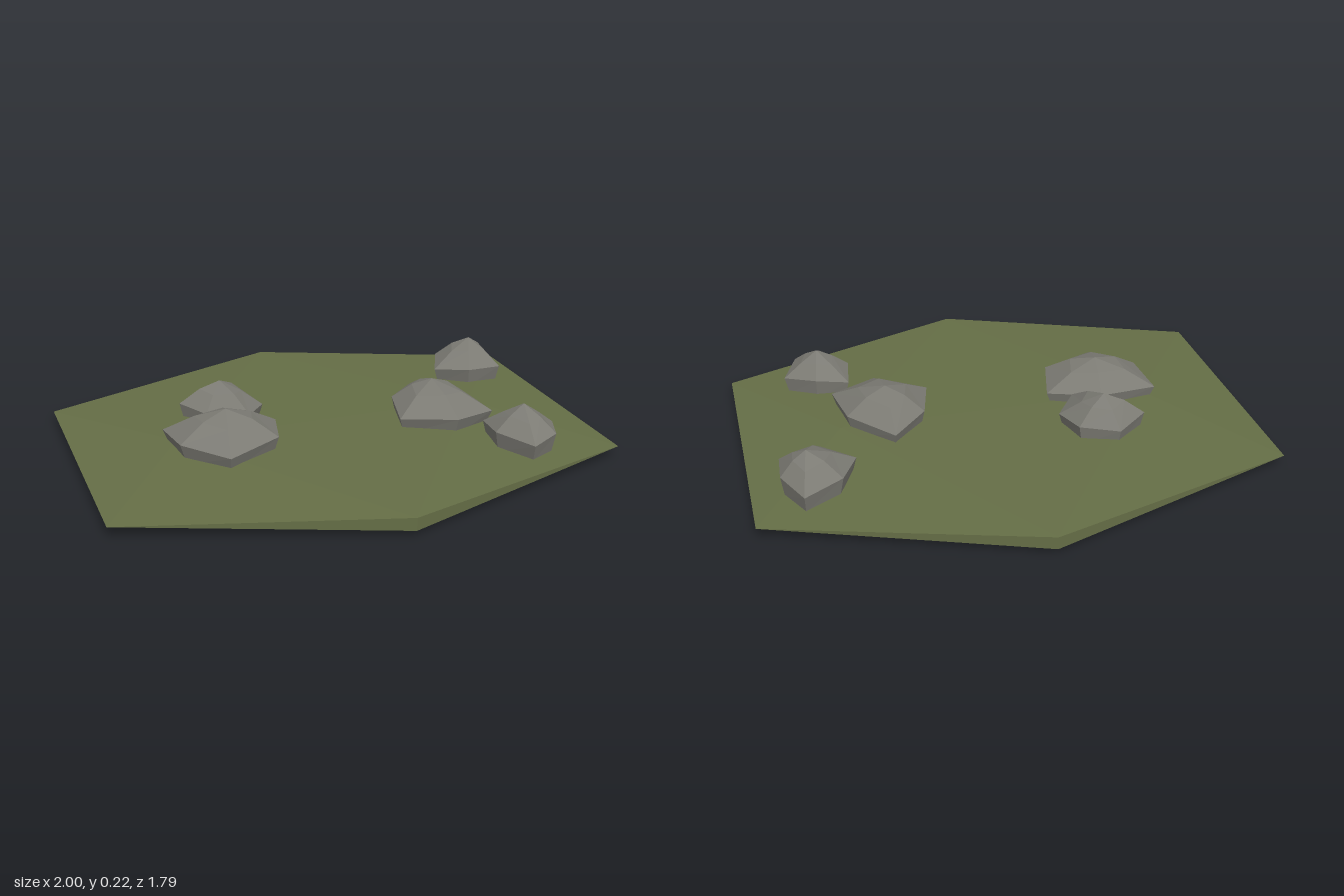
import * as THREE from 'three';

const groundMaterial = new THREE.MeshStandardMaterial({ color: 0x656e46, flatShading: true });
groundMaterial.name = 'mossGreen';
const rockMaterial = new THREE.MeshStandardMaterial({ color: 0x7c7b74, flatShading: true });
rockMaterial.name = 'stoneGrey';

// Each rock: widest outline as [x, z] clockwise from above, peak [x, z], shoulder height
const ROCKS = [
  { name: 'largeLeftRock', peak: [-0.44, 0.08], shoulder: 0.184,
    outline: [[-0.66, -0.04], [-0.42, -0.08], [-0.22, 0.01], [-0.27, 0.21], [-0.49, 0.32], [-0.64, 0.16]] },
  { name: 'smallLeftRock', peak: [-0.38, -0.22], shoulder: 0.18,
    outline: [[-0.41, -0.35], [-0.26, -0.3], [-0.22, -0.16], [-0.31, -0.04], [-0.46, -0.13], [-0.54, -0.25]] },
  { name: 'largeRightRock', peak: [0.43, 0.05], shoulder: 0.182,
    outline: [[0.43, -0.17], [0.59, 0], [0.62, 0.22], [0.44, 0.29], [0.24, 0.18], [0.29, -0.03]] },
  { name: 'backRightRock', peak: [0.79, -0.36], shoulder: 0.18,
    outline: [[0.82, -0.52], [0.89, -0.38], [0.88, -0.23], [0.72, -0.2], [0.6, -0.29], [0.67, -0.44]] },
  { name: 'frontRightRock', peak: [0.65, 0.42], shoulder: 0.174,
    outline: [[0.54, 0.3], [0.67, 0.32], [0.79, 0.4], [0.73, 0.54], [0.61, 0.6], [0.52, 0.45]] },
];

// Faceted stone from three rings (base, waist, shoulder) closed by a peak and a floor
function makeRock({ name, outline, peak, shoulder }) {
  const n = outline.length;
  const ring = (scale, y, wobble) => outline.map(([x, z], i) => {
    const w = i % 2 ? wobble : -wobble;
    return [peak[0] + (x - peak[0]) * scale, y + w, peak[1] + (z - peak[1]) * scale];
  });
  const rings = [ring(0.88, 0.045, 0), ring(1, 0.121, 0.006), ring(0.5, shoulder, 0.005)];
  const top = [peak[0], 0.217, peak[1]];
  const floor = [peak[0], 0.045, peak[1]];
  const points = [];
  for (let i = 0; i < n; i++) {
    const j = (i + 1) % n;
    for (let r = 0; r < 2; r++) {
      const [lo, hi] = [rings[r], rings[r + 1]];
      points.push(lo[j], lo[i], hi[i], lo[j], hi[i], hi[j]);
    }
    points.push(rings[2][j], rings[2][i], top);
    points.push(rings[0][i], rings[0][j], floor);
  }
  const geometry = new THREE.BufferGeometry();
  geometry.setAttribute('position', new THREE.Float32BufferAttribute(points.flat(), 3));
  geometry.computeVertexNormals();
  const mesh = new THREE.Mesh(geometry, rockMaterial);
  mesh.name = name;
  return mesh;
}

export function createModel() {
  const model = new THREE.Group();
  model.name = 'rockyGround';

  // Ground slab: a strongly flattened icosahedron
  const slab = new THREE.IcosahedronGeometry(1, 0);
  slab.scale(1.1756, 0.047, 1.054);
  slab.translate(0, 0.04, 0);
  slab.computeVertexNormals();
  const ground = new THREE.Mesh(slab, groundMaterial);
  ground.name = 'ground';
  model.add(ground);

  // Scattered stones
  const rocks = new THREE.Group();
  rocks.name = 'rocks';
  ROCKS.forEach((rock) => rocks.add(makeRock(rock)));
  model.add(rocks);

  return model;
}
